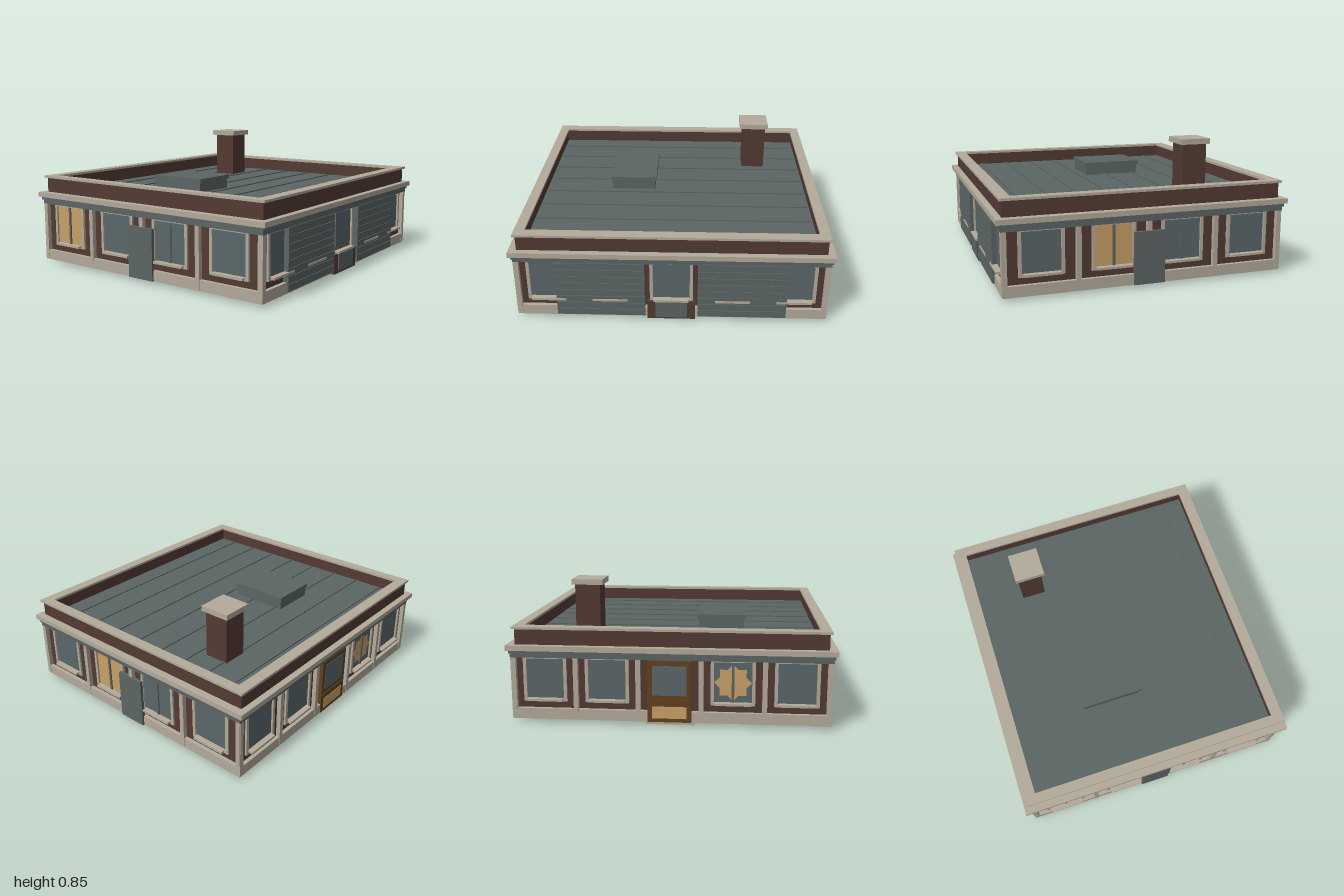
import * as THREE from 'three';

const mat = (name, color, extra = {}) => {
  const m = new THREE.MeshStandardMaterial({ color, ...extra });
  m.name = name;
  return m;
};

export function createModel() {
  const model = new THREE.Group();
  model.name = 'flatRoofedBuilding';
  const brick = mat('brick', 0x533a33);
  const stone = mat('stone', 0xb3aa9a);
  const metal = mat('metal', 0x5b6564);
  const glass = mat('glass', 0x5a676a);
  const lit = mat('litGlass', 0xc9a066);
  const wood = mat('wood', 0x60421f);

  // Box given by its limits on each axis
  const box = (parent, name, material, x0, x1, y0, y1, z0, z1) => {
    const mesh = new THREE.Mesh(new THREE.BoxGeometry(x1 - x0, y1 - y0, z1 - z0), material);
    mesh.position.set((x0 + x1) / 2, (y0 + y1) / 2, (z0 + z1) / 2);
    mesh.name = name;
    parent.add(mesh);
    return mesh;
  };
  const slab = (name, material, hx, hz, y0, y1) => box(model, name, material, -hx, hx, y0, y1, -hz, hz);

  // Rectangular ring lying flat
  const ring = (name, material, hx, hz, ix, iz, y0, y1) => {
    const rect = (C, a, b) => new C([[-a, -b], [a, -b], [a, b], [-a, b]].map(p => new THREE.Vector2(...p)));
    const shape = rect(THREE.Shape, hx, hz);
    shape.holes.push(rect(THREE.Path, ix, iz));
    const geo = new THREE.ExtrudeGeometry(shape, { depth: y1 - y0, bevelEnabled: false });
    geo.rotateX(-Math.PI / 2).translate(0, y0, 0);
    const mesh = new THREE.Mesh(geo, material);
    mesh.name = name;
    model.add(mesh);
  };

  // Main body, from the ground up
  slab('brickWalls', brick, 0.95, 0.87, 0.02, 0.46);
  ring('plinth', stone, 0.975, 0.895, 0.94, 0.86, 0.021, 0.088);
  slab('lowerFascia', metal, 0.979, 0.899, 0.41, 0.435);
  slab('upperFascia', metal, 0.986, 0.908, 0.435, 0.458);
  slab('cornice', stone, 1, 0.925, 0.456, 0.488);
  ring('parapet', brick, 0.95, 0.883, 0.91, 0.835, 0.48, 0.587);
  ring('parapetCap', stone, 0.965, 0.898, 0.9, 0.825, 0.585, 0.6);

  // Roof deck with standing seams
  slab('roofDeck', metal, 0.91, 0.835, 0.48, 0.5);
  for (let i = 0; i < 8; i++) {
    const z = -0.7 + i * 0.2;
    box(model, 'roofSeam', metal, -0.9, 0.9, 0.5, 0.507, z - 0.005, z + 0.005);
  }
  box(model, 'roofHatch', metal, -0.445, -0.145, 0.5, 0.57, -0.345, 0.045);
  box(model, 'roofHatchLid', metal, -0.455, -0.135, 0.565, 0.592, -0.355, 0.055);
  box(model, 'chimney', brick, 0.488, 0.65, 0.5, 0.812, -0.521, -0.359);
  box(model, 'chimneyCap', stone, 0.465, 0.668, 0.81, 0.845, -0.54, -0.338);

  // Stone floor patch and back step underneath
  const patch = new THREE.Shape([[-0.15, -0.86], [-0.4, -0.86], [-0.48, -0.75], [-0.82, 0.03],
    [-0.93, 0.45], [-0.94, 0.86], [-0.15, 0.86]].map(([x, z]) => new THREE.Vector2(x, z)));
  const floor = new THREE.Mesh(new THREE.ExtrudeGeometry(patch, { depth: 0.004, bevelEnabled: false }), stone);
  floor.rotation.x = Math.PI / 2;
  floor.position.y = 0.021;
  floor.name = 'floorPatch';
  model.add(floor);
  box(model, 'backStep', stone, -0.15, 0.15, 0, 0.02, -0.88, -0.44);

  // One window bay, outward along +z, with d the outer plinth face
  const windowBay = (parent, cx, hw, d, pane, split) => {
    const g = new THREE.Group();
    g.name = 'window';
    g.position.set(cx, 0, d);
    parent.add(g);
    box(g, 'pane', pane, -hw, hw, 0.14, 0.41, -0.027, -0.02);
    for (const s of [-1, 1]) {
      const x = s * (hw - 0.01);
      box(g, 'frameSide', stone, x - 0.01, x + 0.01, 0.132, 0.41, -0.027, -0.008);
    }
    box(g, 'frameBottom', stone, -hw, hw, 0.132, 0.15, -0.027, -0.008);
    box(g, 'frameTop', stone, -hw, hw, 0.402, 0.412, -0.027, -0.008);
    box(g, 'sill', stone, -0.11, 0.11, 0.138, 0.152, -0.027, 0.017);
    if (split) box(g, 'mullion', metal, -0.008, 0.008, 0.15, 0.41, -0.027, -0.012);
    return g;
  };

  // Jagged patch of light on a window pane
  const starPatch = (g) => {
    const pts = [];
    for (let i = 0; i < 16; i++) {
      const a = i * Math.PI / 8, r = i % 2 ? 0.75 : 1;
      pts.push(new THREE.Vector2(Math.cos(a) * r * 0.115, Math.sin(a) * r * 0.115));
    }
    const star = new THREE.Mesh(new THREE.ShapeGeometry(new THREE.Shape(pts)), lit);
    star.position.set(0, 0.275, -0.018);
    star.name = 'lightPatch';
    g.add(star);
  };

  // Timber door with glazed top and pale lower panel
  const door = (parent, d) => {
    const g = new THREE.Group();
    g.name = 'backDoor';
    g.position.z = d;
    parent.add(g);
    box(g, 'doorLeaf', wood, -0.135, 0.135, 0.021, 0.405, -0.03, 0.003);
    box(g, 'doorGlass', glass, -0.105, 0.105, 0.19, 0.375, 0, 0.006);
    box(g, 'doorPanel', lit, -0.105, 0.105, 0.045, 0.12, 0, 0.006);
    box(g, 'doorRail', wood, -0.12, 0.12, 0.145, 0.165, 0, 0.01);
  };

  // Four facades: angle, half width, distance, bays, and special bays
  const facades = [
    { name: 'frontFacade', ry: 0, half: 0.975, d: 0.895, n: 5 },
    { name: 'leftFacade', ry: Math.PI / 2, half: 0.895, d: 0.975, n: 4, litBay: 1 },
    { name: 'backFacade', ry: Math.PI, half: 0.975, d: 0.895, n: 5, doorBay: 2, starBay: 3 },
    { name: 'rightFacade', ry: -Math.PI / 2, half: 0.895, d: 0.975, n: 4, litBay: 0 },
  ];
  for (const f of facades) {
    const g = new THREE.Group();
    g.name = f.name;
    g.rotation.y = f.ry;
    model.add(g);
    const pitch = (2 * f.half - 0.03) / f.n;
    for (let i = 0; i <= f.n; i++) {
      const x = (i - f.n / 2) * pitch;
      box(g, 'pilaster', stone, x - 0.015, x + 0.015, 0.03, 0.415, f.d - 0.03, f.d + 0.003);
    }
    for (let i = 0; i < f.n; i++) {
      const x = (i - (f.n - 1) / 2) * pitch;
      if (i === f.doorBay) { door(g, f.d); continue; }
      const split = i === f.litBay || i === f.starBay || (f.n === 4 && i === 2);
      const bay = windowBay(g, x, f.n === 5 ? 0.135 : 0.138, f.d, i === f.litBay ? lit : glass, split);
      if (i === f.starBay) starPatch(bay);
    }
    // Metal service panel in the middle of each side
    if (f.n === 4) box(g, 'servicePanel', metal, -0.098, 0.098, 0.022, 0.35, f.d - 0.01, f.d + 0.013);
  }

  // Slatted roller shutters on both sides of the entrance
  for (const s of [-1, 1]) {
    const g = new THREE.Group();
    g.name = 'shutter';
    g.position.x = s * 0.443;
    model.add(g);
    box(g, 'shutterBacking', metal, -0.278, 0.278, 0.03, 0.415, 0.87, 0.901);
    for (let i = 0; i < 8; i++) {
      const y = 0.032 + i * 0.048;
      box(g, 'slat', metal, -0.278, 0.278, y, y + 0.043, 0.9, 0.907);
    }
  }

  // Entrance base
  box(model, 'entranceBase', brick, -0.15, 0.15, 0.008, 0.135, 0.86, 0.902);
  box(model, 'entrancePanel', metal, -0.1, 0.1, 0.022, 0.138, 0.89, 0.908);

  return model;
}
